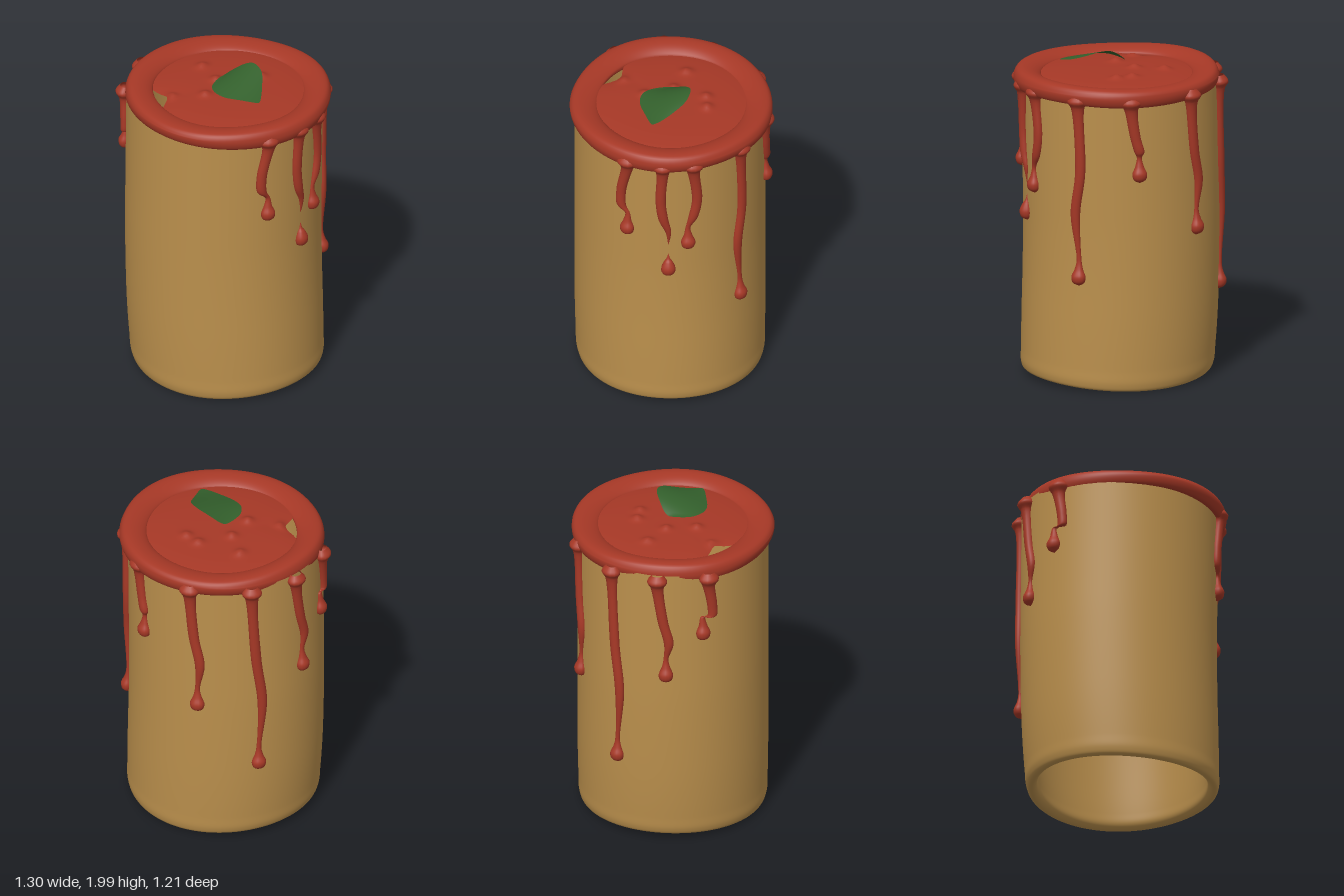
import * as THREE from 'three';

const TAU = Math.PI * 2;
const { sin, cos, exp, max } = Math;

const crust = new THREE.MeshStandardMaterial({ color: 0xba8f4c });
crust.name = 'tan shell';
const sauce = new THREE.MeshStandardMaterial({ color: 0xa63826, side: THREE.DoubleSide });
sauce.name = 'red sauce';
const green = new THREE.MeshStandardMaterial({ color: 0x33602c, side: THREE.DoubleSide });
green.name = 'leaf green';

// Smooth skin over closed rings; at(row, angle) gives [x, y, z].
// Rows climb the outside, angles run from +z towards +x.
function skin(name, material, rows, cols, at) {
  const pos = [], index = [];
  for (let i = 0; i < rows; i++) {
    for (let j = 0; j < cols; j++) {
      pos.push(...at(i, (j / cols) * TAU));
      if (i === rows - 1) continue;
      const a = i * cols + j, b = i * cols + (j + 1) % cols;
      index.push(a, b, b + cols, a, b + cols, a + cols);
    }
  }
  const g = new THREE.BufferGeometry();
  g.setAttribute('position', new THREE.Float32BufferAttribute(pos, 3));
  g.setIndex(index);
  g.computeVertexNormals();
  const mesh = new THREE.Mesh(g, material);
  mesh.name = name;
  return mesh;
}

// Smooth samples along a few control points
const smooth = (pts, n) => new THREE.CatmullRomCurve3(
  pts.map(p => new THREE.Vector3(p[0], p[1], p[2] || 0)), false, 'centripetal').getPoints(n);

// Point on the slightly leaning shell, pushed out by d
function onShell(t, y, d) {
  const low = max(0, 1 - y / 0.5), cx = -0.01 + 0.03 * max(0, 1 - y) ** 2 + 0.012 * max(0, y - 1);
  return [cx + (0.589 - 0.014 * low * low + d) * sin(t), y,
    0.004 + (0.567 - 0.01 * low * low + d) * cos(t)];
}

// Hollow shell, open below, with a rounded wavy lip: [offset from surface, height]
function makeShell() {
  const profile = smooth([[-0.07, 1.8], [-0.07, 1.2], [-0.07, 0.6], [-0.07, 0.12], [-0.062, 0.045],
    [-0.035, 0.02], [-0.012, 0.025], [0, 0.06], [0, 0.15], [0, 0.6], [0, 1.2], [0, 1.82]], 90);
  return skin('shell', crust, profile.length, 96, (i, t) => {
    const { x: d, y } = profile[i], p = onShell(t, y, d);
    p[1] -= 0.016 * cos(2 * t + 0.15) * max(0, 1 - y / 0.4);
    return p;
  });
}

// Thick rim of sauce round the top
function makeRim() {
  const profile = smooth([[0.5, 1.79], [0.57, 1.768], [0.594, 1.768], [0.61, 1.795], [0.613, 1.83],
    [0.595, 1.862], [0.56, 1.872], [0.51, 1.866], [0.47, 1.85], [0.45, 1.832], [0.455, 1.81], [0.5, 1.79]], 40);
  return skin('sauceRim', sauce, profile.length, 96, (i, t) => {
    const { x: r, y } = profile[i], k = 1 + 0.006 * sin(5 * t + 1);
    const lift = y > 1.83 ? (-0.008 * cos(2 * t) + 0.003 * sin(3 * t)) * (y - 1.83) / 0.04 : 0.006 * sin(3 * t + 2);
    return [0.025 + r * k * sin(t), y + lift, r * k * 0.982 * cos(t)];
  });
}

// Lumpy pool inside the rim, drawn back on one side to leave a slit
function makePool() {
  const lumps = [[0.03, -0.21], [0.13, -0.2], [-0.23, -0.13], [-0.08, -0.03], [-0.05, 0.15], [-0.22, 0.25]];
  const rows = 40;
  return skin('saucePool', sauce, rows, 96, (i, t) => {
    const f = 1 - i / (rows - 1), away = t - (TAU - 0.79);
    const r = f * (0.475 - 0.095 * exp(-(away * away) / 0.05));
    const x = 0.025 + r * sin(t), z = r * cos(t);
    let y = 1.855 - 0.025 * f ** 4;
    for (const [lx, lz] of lumps) y += 0.024 * exp(-((x - lx) ** 2 + (z - lz) ** 2) / 0.0012);
    return [x, y, z];
  });
}

// Round strand lying on the shell through [angle, height, radius] points, top first
function makeStrand(name, points) {
  const path = smooth(points, 56).reverse();
  return skin(name, sauce, path.length, 14, (i, a) => {
    const { x: t, y } = path[i], r = max(0, path[i].z);
    return onShell(t + r * sin(a) / 0.58, y, 0.25 * r + 0.85 * r * cos(a));
  });
}

const bead = (t, y) => [[t, y + 0.045, 0.026], [t, y, 0.043], [t, y - 0.035, 0.035], [t, y - 0.057, 0]];

// Drip running from the rim: angles at the top, two bends and the end
function makeDrip([a, b, c, d], end, beaded = true) {
  const down = k => 1.7 + (end - 1.7) * k;
  const run = [[a, 1.83, 0.035], [a, 1.79, 0.06], [a, 1.745, 0.04],
    [b, down(0.35), 0.031], [c, down(0.62), 0.029]];
  return makeStrand('drip', run.concat(
    beaded ? [[d, end + 0.1, 0.015], ...bead(d, end)] : [[d, end + 0.1, 0.017], [d, end, 0]]));
}

// Curled leaf: outline shrunk towards its middle and bent by a rule
function makeLeaf() {
  const outline = new THREE.CatmullRomCurve3([[0.1, 0.2], [0.2, 0.19], [0.315, 0.165], [0.322, 0.155],
    [0.26, 0.01], [0.21, -0.065], [0.13, -0.1], [0.05, -0.075], [-0.015, -0.03], [-0.03, 0.04],
    [-0.015, 0.13], [0.03, 0.18]].map(([x, z]) => new THREE.Vector3(x, 0, z)), true, 'centripetal');
  const rows = 12;
  return skin('leaf', green, rows, 64, (i, a) => {
    const p = outline.getPoint(a / TAU), f = 1 - i / (rows - 1);
    const x = 0.13 + (p.x - 0.13) * f, z = 0.06 + (p.z - 0.06) * f;
    const arch = max(0, 1 - ((x - 0.16) / 0.18) ** 2);
    return [x, 1.908 + 0.092 * arch * (0.2 - z) / 0.3, z];
  });
}

export function createModel() {
  const model = new THREE.Group();
  model.name = 'saucedRoll';
  model.add(makeShell(), makeRim(), makePool(), makeLeaf());

  const drips = new THREE.Group();
  drips.name = 'drips';
  const runs = [
    [[0.96, 0.89, 0.89, 0.96], 1.29],
    [[1.66, 1.7, 1.66, 1.605], 1.22],
    [[2.23, 2.25, 2.19, 2.23], 0.71],
    [[2.78, 2.82, 2.86, 2.86], 1.35],
    [[3.46, 3.5, 3.56, 3.53], 0.98],
    [[4.1, 4.14, 4.2, 4.17], 0.56],
    [[4.62, 4.68, 4.74, 4.71], 1.16],
    [[5.16, 5.2, 5.2, 5.1], 1.43],
    [[1.34, 1.32, 1.35, 1.4], 1.19, false],
  ];
  for (const run of runs) drips.add(makeDrip(...run));
  // Loose drop below the broken drip
  drips.add(makeStrand('looseDrop', [[1.4, 1.13, 0], [1.4, 1.09, 0.012], ...bead(1.4, 1.025)]));
  model.add(drips);
  return model;
}
